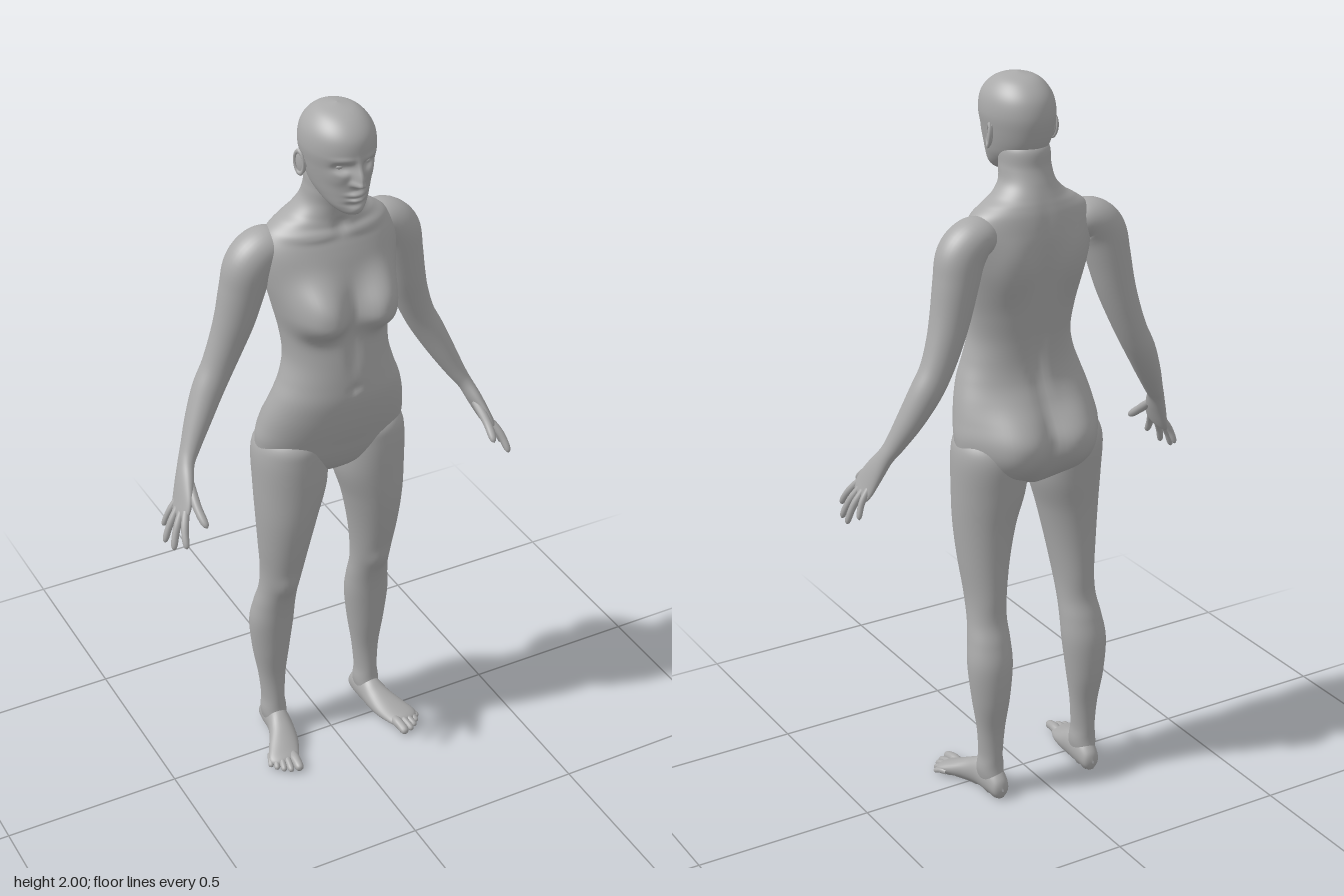
import * as THREE from 'three';

const skin = new THREE.MeshStandardMaterial({ color: 0xaaaaaa });
skin.name = 'plain grey';

// Smooth value between rows of numbers (Catmull-Rom).
function sample(rows, t) {
  const i = Math.min(Math.floor(t), rows.length - 2), f = t - i;
  const p0 = rows[Math.max(i - 1, 0)], p1 = rows[i], p2 = rows[i + 1], p3 = rows[Math.min(i + 2, rows.length - 1)];
  return p1.map((b, k) => {
    const a = p0[k], c = p2[k], d = p3[k];
    return b + 0.5 * f * (c - a + f * (2 * a - 5 * b + 4 * c - d + f * (3 * (b - c) + d - a)));
  });
}

// Skin over elliptical rings [x, y, z, radiusU, radiusV]; hint is the direction of radiusV,
// dir (optional) keeps every ring in one plane, deform moves each point by a rule.
function loft(rows, { segs = 36, steps = 6, hint = [0, 0, 1], dir, deform } = {}) {
  const pos = [], idx = [], n = (rows.length - 1) * steps;
  const at = t => new THREE.Vector3(...sample(rows, THREE.MathUtils.clamp(t, 0, rows.length - 1)));
  for (let i = 0; i <= n; i++) {
    const t = i / steps, s = sample(rows, t), c = at(t);
    const T = dir ? new THREE.Vector3(...dir) : at(t + 0.2).sub(at(t - 0.2)).normalize();
    const V = new THREE.Vector3(...hint);
    V.addScaledVector(T, -V.dot(T)).normalize();
    const U = T.clone().cross(V);
    for (let j = 0; j < segs; j++) {
      const a = j / segs * Math.PI * 2;
      const p = c.clone().addScaledVector(U, Math.max(s[3], 0.0004) * Math.cos(a))
        .addScaledVector(V, Math.max(s[4], 0.0004) * Math.sin(a));
      if (deform) deform(p, Math.sin(a));
      pos.push(p.x, p.y, p.z);
      if (i < n) {
        const k = i * segs + j, m = i * segs + (j + 1) % segs;
        idx.push(k, k + segs, m, m, k + segs, m + segs);
      }
    }
  }
  const g = new THREE.BufferGeometry();
  g.setAttribute('position', new THREE.Float32BufferAttribute(pos, 3));
  g.setIndex(idx);
  g.computeVertexNormals();
  return g;
}

function mirrored(geo) {
  const g = geo.clone(), p = g.attributes.position, ix = g.index;
  for (let i = 0; i < p.count; i++) p.setX(i, -p.getX(i));
  for (let i = 0; i < ix.count; i += 3) {
    const a = ix.getX(i);
    ix.setX(i, ix.getX(i + 1));
    ix.setX(i + 1, a);
  }
  g.computeVertexNormals();
  return g;
}

// Soft swelling centred on (cx, cy), mirrored in x, with separate heights above and below.
function bump(p, cx, cy, sx, up, down, h) {
  const dx = (Math.abs(p.x) - cx) / sx, dy = (p.y - cy) / (p.y > cy ? up : down);
  return h * Math.exp(-Math.pow(dx * dx + dy * dy, 1.4));
}
const facing = s => Math.min(1, Math.max(0, s) * 2);

// Row of a horizontal ring from its height, half width, front z and back z.
const ring = (y, a, front, back, x = 0) => [x, y, (front + back) / 2, a, (front - back) / 2];

// Finger or toe: a tapering rod with a round tip, slightly arched.
function digit(base, tip, r, arch) {
  const row = (f, k) => base.map((b, i) => b + (tip[i] - b) * f + arch[i] * Math.sin(f * Math.PI)).concat(r * k, r * k);
  return loft([row(0, 0.9), row(0.3, 1), row(0.55, 0.93), row(0.8, 0.88), row(0.94, 0.62), row(1, 0)],
    { segs: 14, steps: 4, hint: [0.3, 0.4, 1] });
}

export function createModel() {
  const model = new THREE.Group();
  model.name = 'figure';
  const add = (name, geo) => {
    const m = new THREE.Mesh(geo, skin);
    m.name = name;
    model.add(m);
  };
  const pair = (name, geo) => {
    add('left' + name, geo);
    add('right' + name, mirrored(geo));
  };

  // Torso and neck
  add('torso', loft([
    ring(0.9, 0.01, -0.02, -0.06), ring(0.92, 0.08, 0.02, -0.09), ring(0.955, 0.165, 0.06, -0.115),
    ring(1.0, 0.203, 0.085, -0.128), ring(1.05, 0.212, 0.103, -0.133), ring(1.1, 0.205, 0.12, -0.122),
    ring(1.15, 0.194, 0.132, -0.105), ring(1.2, 0.178, 0.139, -0.088), ring(1.25, 0.159, 0.137, -0.082),
    ring(1.31, 0.145, 0.131, -0.087), ring(1.38, 0.15, 0.122, -0.1), ring(1.45, 0.165, 0.118, -0.113),
    ring(1.52, 0.18, 0.108, -0.124), ring(1.58, 0.188, 0.091, -0.127), ring(1.62, 0.184, 0.076, -0.124),
    ring(1.655, 0.165, 0.06, -0.118), ring(1.68, 0.132, 0.053, -0.111), ring(1.7, 0.1, 0.052, -0.104),
    ring(1.73, 0.074, 0.056, -0.093), ring(1.77, 0.067, 0.064, -0.079), ring(1.82, 0.062, 0.065, -0.07),
    ring(1.85, 0.02, 0.02, -0.02),
  ], {
    segs: 80, steps: 8, dir: [0, 1, 0],
    deform(p, s) {
      const f = facing(s), b = facing(-s);
      p.z += f * (bump(p, 0.088, 1.452, 0.066, 0.085, 0.058, 0.062)   // breasts
        - bump(p, 0, 1.235, 0.012, 0.014, 0.014, 0.007)               // navel
        - bump(p, 0, 1.34, 0.02, 0.09, 0.06, 0.006)                   // midline
        - bump(p, 0, 1.675, 0.018, 0.018, 0.02, 0.008)                // throat hollow
        + bump(p, 0.075, 1.655, 0.065, 0.012, 0.014, 0.006));         // collarbones
      p.z -= b * (bump(p, 0.088, 1.025, 0.08, 0.105, 0.085, 0.053)    // buttocks
        - bump(p, 0, 1.36, 0.025, 0.24, 0.22, 0.014)                  // spine
        + bump(p, 0.095, 1.52, 0.05, 0.08, 0.08, 0.012));             // shoulder blades
    },
  }));

  // Head with modelled face
  add('head', loft([
    ring(1.732, 0.004, 0.11, 0.1), ring(1.74, 0.028, 0.13, 0.06), ring(1.76, 0.05, 0.137, 0.01),
    ring(1.79, 0.067, 0.138, -0.045), ring(1.82, 0.077, 0.139, -0.07), ring(1.86, 0.086, 0.142, -0.084),
    ring(1.9, 0.092, 0.148, -0.089), ring(1.94, 0.087, 0.142, -0.08), ring(1.97, 0.07, 0.118, -0.057),
    ring(1.99, 0.044, 0.081, -0.024), ring(2.0, 0, 0.028, 0.028),
  ], {
    segs: 128, steps: 12, dir: [0, 1, 0],
    deform(p, s) {
      p.z += facing(s) * (bump(p, 0, 1.833, 0.012, 0.045, 0.014, 0.029)  // nose
        + bump(p, 0.011, 1.828, 0.009, 0.009, 0.008, 0.009)              // nostrils
        + bump(p, 0, 1.797, 0.024, 0.008, 0.007, 0.01)                   // upper lip
        + bump(p, 0, 1.782, 0.02, 0.006, 0.008, 0.01)                    // lower lip
        - bump(p, 0, 1.77, 0.03, 0.008, 0.008, 0.004)
        + bump(p, 0, 1.75, 0.022, 0.013, 0.012, 0.005)                   // chin
        - bump(p, 0.035, 1.872, 0.021, 0.013, 0.015, 0.014)              // eye sockets
        + bump(p, 0.036, 1.893, 0.026, 0.008, 0.008, 0.003)              // brows
        + bump(p, 0.048, 1.845, 0.02, 0.018, 0.022, 0.004));             // cheeks
      p.y = Math.min(p.y, 2);
    },
  }));
  const eye = new THREE.SphereGeometry(0.012, 20, 14).scale(1.2, 0.75, 1).translate(0.035, 1.871, 0.11);
  pair('Eye', eye);
  const ear = new THREE.SphereGeometry(1, 18, 14).scale(0.007, 0.03, 0.017).rotateY(-0.35).rotateX(-0.15).translate(0.09, 1.85, 0.012);
  pair('Ear', ear);
  const earRim = new THREE.TorusGeometry(0.018, 0.004, 8, 24).scale(0.85, 1.6, 1)
    .rotateY(Math.PI / 2 - 0.35).rotateX(-0.15).translate(0.095, 1.85, 0.011);
  pair('EarRim', earRim);

  // Arms down to the palms
  pair('Arm', loft([
    [0.1, 1.605, -0.04, 0.02, 0.03], [0.14, 1.61, -0.042, 0.047, 0.055], [0.18, 1.602, -0.045, 0.058, 0.063],
    [0.212, 1.565, -0.046, 0.064, 0.064], [0.229, 1.5, -0.05, 0.06, 0.06], [0.248, 1.42, -0.055, 0.054, 0.054],
    [0.27, 1.35, -0.061, 0.048, 0.048], [0.298, 1.28, -0.064, 0.043, 0.044], [0.33, 1.22, -0.06, 0.041, 0.044],
    [0.366, 1.15, -0.045, 0.034, 0.039], [0.4, 1.085, -0.025, 0.025, 0.03], [0.42, 1.05, -0.01, 0.02, 0.028],
    [0.437, 1.01, 0.012, 0.019, 0.037], [0.455, 0.965, 0.035, 0.015, 0.045], [0.467, 0.938, 0.045, 0.011, 0.041],
    [0.472, 0.927, 0.048, 0.001, 0.025],
  ]));

  // Fingers: base, tip, radius
  [
    ['Thumb', [0.428, 1.01, 0.03], [0.43, 0.935, 0.135], 0.0125],
    ['IndexFinger', [0.46, 0.958, 0.07], [0.485, 0.88, 0.125], 0.0105],
    ['MiddleFinger', [0.465, 0.95, 0.052], [0.505, 0.858, 0.085], 0.0105],
    ['RingFinger', [0.467, 0.95, 0.031], [0.512, 0.858, 0.042], 0.01],
    ['LittleFinger', [0.462, 0.96, 0.011], [0.497, 0.882, 0.001], 0.009],
  ].forEach(([name, base, tip, r]) => pair(name, digit(base, tip, r, [0.006, 0, 0.002])));

  // Legs
  pair('Leg', loft([
    ring(1.09, 0.05, 0.04, -0.06, 0.115), ring(1.05, 0.088, 0.082, -0.11, 0.115), ring(1.0, 0.101, 0.09, -0.13, 0.117),
    ring(0.9, 0.1, 0.088, -0.12, 0.118), ring(0.8, 0.084, 0.08, -0.106, 0.13), ring(0.7, 0.069, 0.062, -0.1, 0.137),
    ring(0.6, 0.056, 0.037, -0.1, 0.14), ring(0.53, 0.054, 0.012, -0.102, 0.143), ring(0.47, 0.059, -0.005, -0.12, 0.147),
    ring(0.4, 0.063, -0.016, -0.135, 0.151), ring(0.3, 0.053, -0.028, -0.132, 0.152), ring(0.2, 0.039, -0.04, -0.115, 0.151),
    ring(0.1, 0.031, -0.034, -0.112, 0.151), ring(0.05, 0.031, -0.025, -0.118, 0.151), ring(0.025, 0.015, -0.05, -0.1, 0.15),
  ].reverse(), {
    segs: 44, steps: 7, dir: [0, 1, 0],
    deform(p, s) {
      p.z += facing(s) * bump(p, 0.143, 0.565, 0.03, 0.04, 0.035, 0.008);  // kneecap
      if (p.y < 0.14) p.x += (p.x - 0.151) * bump(p, 0.151, 0.085, 0.06, 0.025, 0.025, 0.2);  // ankle
    },
  }));

  // Feet
  pair('Foot', loft([
    [0.148, 0.03, -0.137, 0.002, 0.004], [0.148, 0.032, -0.127, 0.023, 0.028], [0.149, 0.045, -0.09, 0.032, 0.045],
    [0.152, 0.046, -0.04, 0.034, 0.046], [0.16, 0.037, 0, 0.04, 0.037], [0.175, 0.027, 0.04, 0.047, 0.027],
    [0.19, 0.019, 0.075, 0.047, 0.018], [0.191, 0.015, 0.096, 0.034, 0.012], [0.19, 0.013, 0.104, 0.008, 0.003],
  ], { hint: [0, 1, 0], dir: [0, 0, 1], deform: p => { p.y = Math.max(p.y < 0.006 ? p.y * 0.4 : p.y, 0); } }));

  // Toes: base x, base z, tip x, tip z, radius
  [
    [0.166, 0.075, 0.172, 0.144, 0.0145], [0.186, 0.075, 0.196, 0.136, 0.0105], [0.2, 0.07, 0.213, 0.124, 0.01],
    [0.212, 0.06, 0.228, 0.108, 0.0095], [0.222, 0.05, 0.239, 0.09, 0.009],
  ].forEach(([bx, bz, tx, tz, r], i) => pair('Toe' + (i + 1), digit([bx, 0.018, bz], [tx, r * 0.75, tz], r, [0, 0.004, 0])));

  return model;
}
